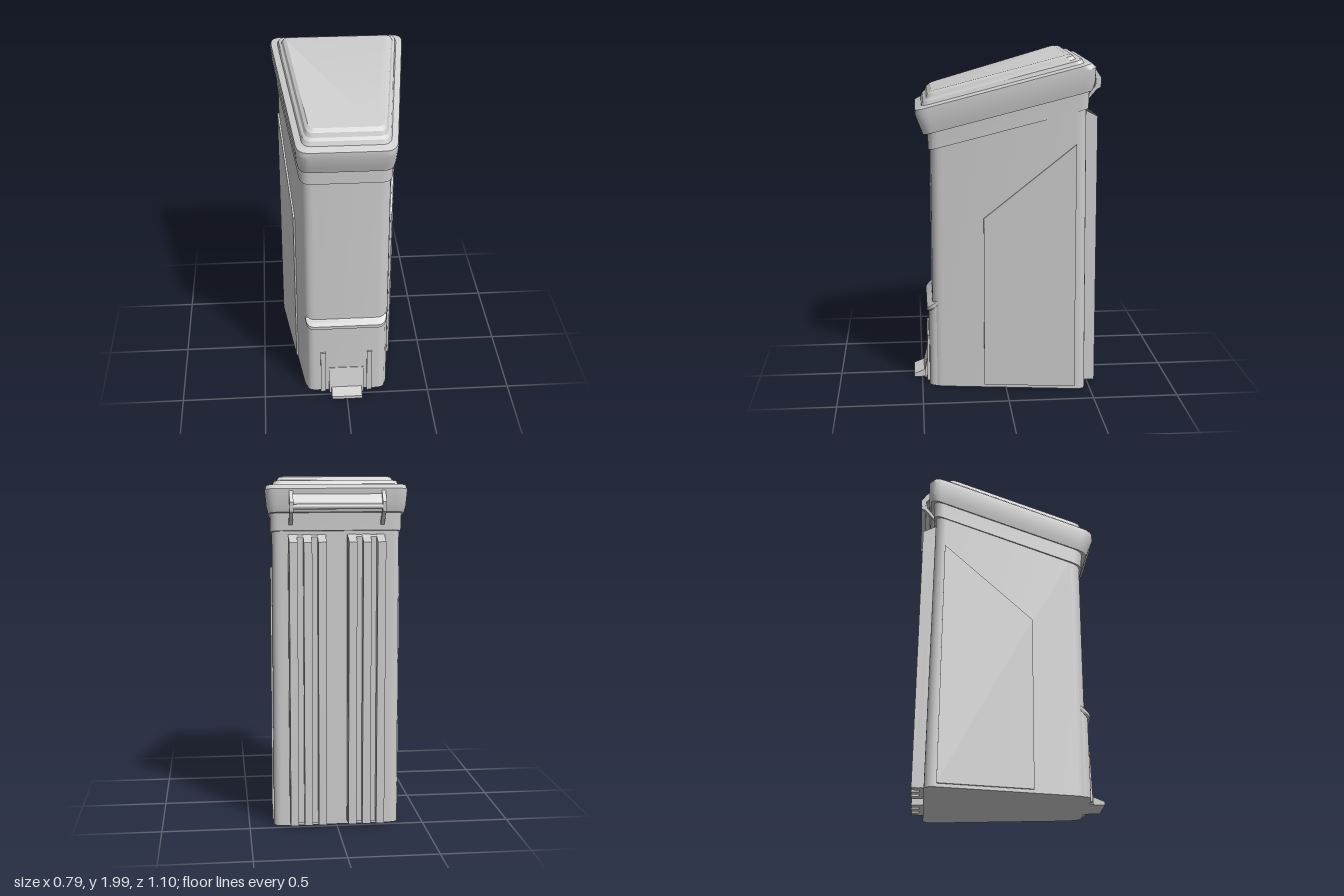
import * as THREE from 'three';
import { toCreasedNormals } from 'three/addons/utils/BufferGeometryUtils.js';

const material = new THREE.MeshStandardMaterial({ color: 0xcccccc });
const SLOPE = 0.273; // fall of the lid towards the front

// Rounded trapezoid outline lying in the plane y = h - s * z.
// f, b: front and back z; w: half width at z = 0; k: side taper; r: corner size.
function ring({ f, b, w, h, k = 0.13, r = 0.06, s = SLOPE }) {
  const half = z => w - k * z;
  const corners = [[half(f), f], [half(b), b], [-half(b), b], [-half(f), f]]
    .map(([x, z]) => new THREE.Vector2(x, z));
  const points = [];
  corners.forEach((c, i) => {
    const towards = p => c.clone().add(p.clone().sub(c).setLength(r));
    const curve = new THREE.QuadraticBezierCurve(
      towards(corners[(i + 3) % 4]), c, towards(corners[(i + 1) % 4]));
    points.push(...curve.getPoints(6));
  });
  return points.map(p => [p.x, h - s * p.y, p.y]);
}

// Closed solid through a stack of rings, bottom to top.
function loft(specs) {
  const rings = specs.map(ring);
  const n = rings[0].length;
  const positions = rings.flat(2);
  const index = [];
  for (let i = 0; i < rings.length - 1; i++) {
    for (let j = 0; j < n; j++) {
      const a = i * n + j, b = i * n + (j + 1) % n;
      index.push(a, b, b + n, a, b + n, a + n);
    }
  }
  const top = (rings.length - 1) * n;
  for (let j = 1; j < n - 1; j++) {
    index.push(0, j + 1, j, top, top + j, top + j + 1);
  }
  const geometry = new THREE.BufferGeometry();
  geometry.setAttribute('position', new THREE.Float32BufferAttribute(positions, 3));
  geometry.setIndex(index);
  return toCreasedNormals(geometry, 0.4);
}

// Side profile given as [z, y] points, extruded from x0 to x1.
function prism(profile, x0, x1) {
  const shape = new THREE.Shape(profile.map(([z, y]) => new THREE.Vector2(-z, y)));
  return new THREE.ExtrudeGeometry(shape, { depth: x1 - x0, bevelEnabled: false })
    .rotateY(Math.PI / 2).translate(x0, 0, 0);
}

export function createModel() {
  const group = new THREE.Group();
  const add = (name, geometry) => {
    const mesh = new THREE.Mesh(geometry, material);
    mesh.name = name;
    group.add(mesh);
    return mesh;
  };
  const addPair = (name, geometry) => {
    add(name + 'Left', geometry);
    add(name + 'Right', geometry).scale.x = -1;
  };

  // Tapered bin body with a slanted top
  add('body', loft([
    { f: 0.435, b: -0.472, w: 0.303, k: 0.135, h: 0.01, s: 0 },
    { f: 0.43, b: -0.453, w: 0.303, k: 0.135, h: 1.6 },
  ]));

  // Collar under the lid
  add('collar', loft([
    { f: 0.443, b: -0.465, w: 0.312, h: 1.578 },
    { f: 0.447, b: -0.468, w: 0.314, h: 1.69 },
  ]));

  // Lid: flared skirt, flat rim and stepped crown
  add('lid', loft([
    { f: 0.472, b: -0.485, w: 0.322, h: 1.675 },
    { f: 0.487, b: -0.497, w: 0.331, h: 1.717, r: 0.065 },
    { f: 0.515, b: -0.5, w: 0.339, h: 1.8, r: 0.07 },
    { f: 0.515, b: -0.475, w: 0.337, h: 1.829, r: 0.07 },
    { f: 0.478, b: -0.435, w: 0.302, h: 1.84, r: 0.05 },
    { f: 0.468, b: -0.425, w: 0.295, h: 1.862, r: 0.05 },
    { f: 0.452, b: -0.39, w: 0.282, h: 1.872, r: 0.045 },
    { f: 0.443, b: -0.375, w: 0.274, h: 1.894, r: 0.04 },
    { f: 0.423, b: -0.342, w: 0.257, h: 1.907, r: 0.035 },
  ]));

  // Raised panels that follow the tapered sides
  const panel = prism([[0.13, 0.03], [0.13, 1.06], [-0.395, 1.5], [-0.405, 0.03]], -0.01, 0.01);
  const p = panel.attributes.position;
  for (let i = 0; i < p.count; i++) p.setX(i, p.getX(i) + 0.303 - 0.135 * p.getZ(i));
  panel.computeVertexNormals();
  addPair('sidePanel', panel);

  // Two groups of upright ribs on the back
  addPair('ribBase', prism(
    [[-0.43, 0.03], [-0.43, 1.69], [-0.475, 1.67], [-0.495, 0.03]], 0.06, 0.27));
  for (const x of [0.085, 0.165, 0.245]) {
    addPair('backRib', prism(
      [[-0.44, 0.03], [-0.44, 1.69], [-0.528, 1.645], [-0.54, 0.03]], x - 0.023, x + 0.023));
  }

  // Front apron with a projecting lip
  const apron = { b: 0.3, w: 0.24, k: 0, r: 0.055, s: 0.8 };
  add('frontApron', loft([
    { ...apron, f: 0.456, h: 0.01, s: 0 },
    { ...apron, f: 0.452, h: 0.86 },
  ]));
  add('apronLip', loft([
    { ...apron, f: 0.455, h: 0.84 },
    { ...apron, f: 0.466, w: 0.243, h: 0.853 },
    { ...apron, f: 0.466, w: 0.243, h: 0.872 },
    { ...apron, f: 0.455, h: 0.878 },
  ]));

  // Foot pedal between two guide ribs and cheeks
  addPair('guideRib', prism([[0.43, 0.01], [0.43, 0.3], [0.464, 0.3], [0.472, 0.01]], 0.125, 0.156));
  addPair('pedalCheek', prism([[0.44, 0.01], [0.44, 0.18], [0.46, 0.18], [0.485, 0.05], [0.485, 0.01]], 0.092, 0.106));
  add('pedal', prism([[0.44, 0.01], [0.44, 0.18], [0.458, 0.18], [0.488, 0.055],
    [0.55, 0.03], [0.55, 0.01]], -0.092, 0.092));

  // Hinge: hooked arms, cover plate and pin
  addPair('hingeArm', prism([[-0.47, 1.955], [-0.515, 1.91], [-0.546, 1.865], [-0.543, 1.81],
    [-0.52, 1.8], [-0.465, 1.735], [-0.465, 1.76], [-0.508, 1.815], [-0.515, 1.86], [-0.47, 1.905]],
  0.245, 0.266));
  add('hingePlate', prism([[-0.47, 1.93], [-0.5, 1.905], [-0.528, 1.86], [-0.528, 1.825],
    [-0.515, 1.825], [-0.515, 1.855], [-0.47, 1.9]], -0.247, 0.247));
  add('hingePin', new THREE.CylinderGeometry(0.014, 0.014, 0.536, 12)
    .rotateZ(Math.PI / 2).translate(0, 1.838, -0.531));

  return group;
}
